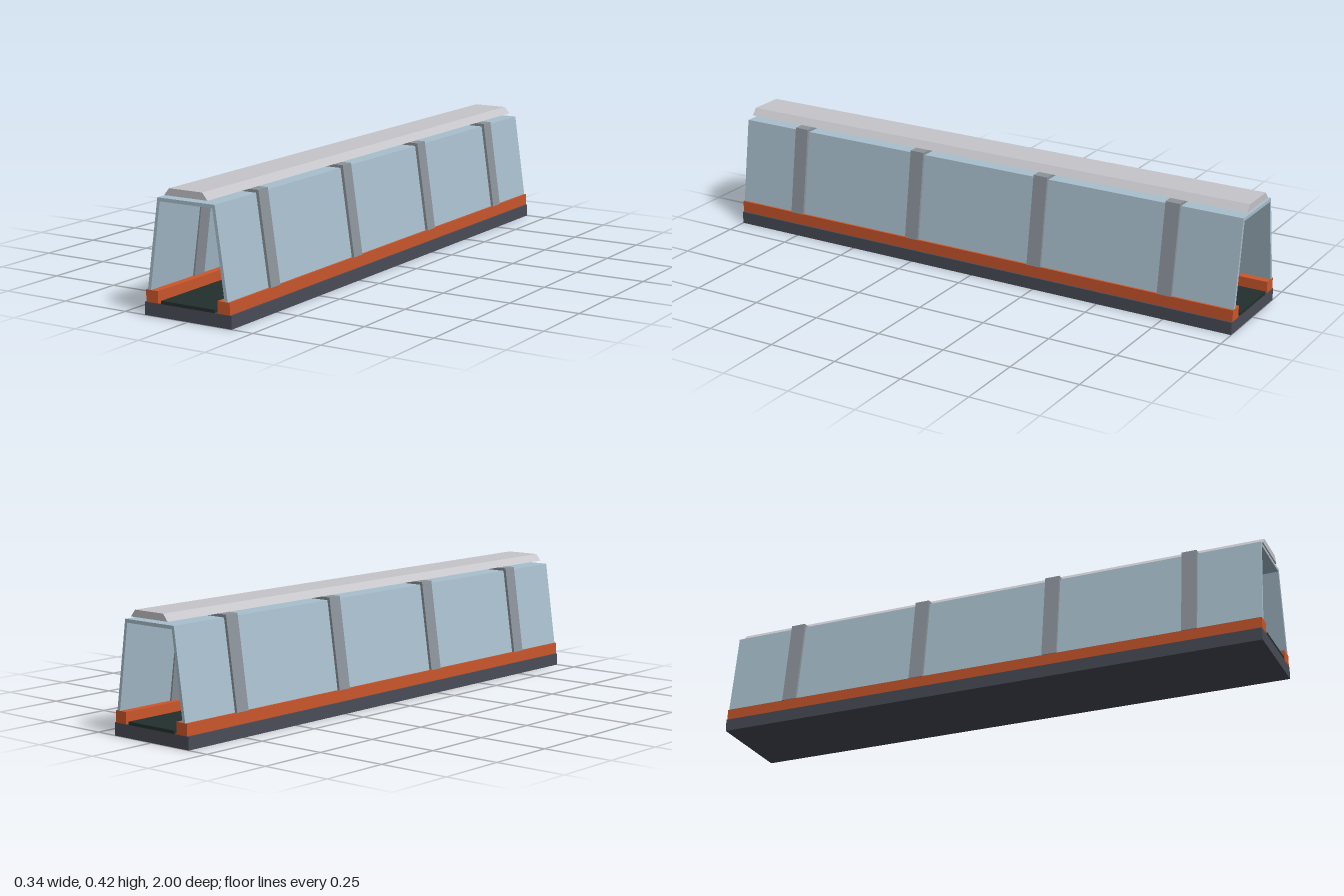
import * as THREE from 'three';

const material = (name, color) => {
  const m = new THREE.MeshStandardMaterial({ color });
  m.name = name;
  return m;
};

// Extrude an outline in x/y along z, centred on the given z.
function extrude(points, length, z = 0) {
  const shape = new THREE.Shape(points.map(([x, y]) => new THREE.Vector2(x, y)));
  const geometry = new THREE.ExtrudeGeometry(shape, { depth: length, bevelEnabled: false });
  return geometry.translate(0, 0, z - length / 2);
}

// Closed outline of an arch from its right half: outer foot, outer top, inner top, inner foot.
function arch(outerFoot, outerTop, innerTop, innerFoot) {
  const mirror = ([x, y]) => [-x, y];
  return [outerFoot, outerTop, mirror(outerTop), mirror(outerFoot),
    mirror(innerFoot), mirror(innerTop), innerTop, innerFoot];
}

export function createModel() {
  const group = new THREE.Group();
  group.name = 'tunnelCorridor';

  const slate = material('darkSlate', 0x4a4d58);
  const orange = material('orange', 0xcc572b);
  const glass = material('paleBlueGlass', 0xa9c0ce);
  const steel = material('greySteel', 0x8c949b);
  const pale = material('paleGrey', 0xc6c6cb);
  const deck = material('darkGreen', 0x22302c);

  const add = (name, geometry, mat) => {
    const mesh = new THREE.Mesh(geometry, mat);
    mesh.name = name;
    group.add(mesh);
  };
  const box = (name, mat, w, x, y0, y1) => {
    const g = new THREE.BoxGeometry(w, y1 - y0, 2);
    add(name, g.translate(x, (y0 + y1) / 2, 0), mat);
  };

  // Base, walkway and side rails
  box('base', slate, 0.34, 0, 0, 0.044);
  box('walkway', deck, 0.208, 0, 0.044, 0.055);
  box('leftRail', orange, 0.047, 0.14, 0.044, 0.085);
  box('rightRail', orange, 0.047, -0.14, 0.044, 0.085);

  // Glazed walls and ceiling
  const shell = arch([0.156, 0.085], [0.111, 0.39], [0.102, 0.378], [0.144, 0.085]);
  add('glazing', extrude(shell, 2), glass);

  // Ribs wrapping the glazing
  const rib = arch([0.166, 0.085], [0.12, 0.4], [0.099, 0.369], [0.137, 0.085]);
  for (const z of [-0.75, -0.25, 0.25, 0.75]) add('rib', extrude(rib, 0.053, z), steel);

  // Chamfered roof cap resting on the ribs
  const cap = [[-0.084, 0.4], [0.084, 0.4], [0.064, 0.424], [-0.064, 0.424]];
  add('roofCap', extrude(cap, 2), pale);

  return group;
}
